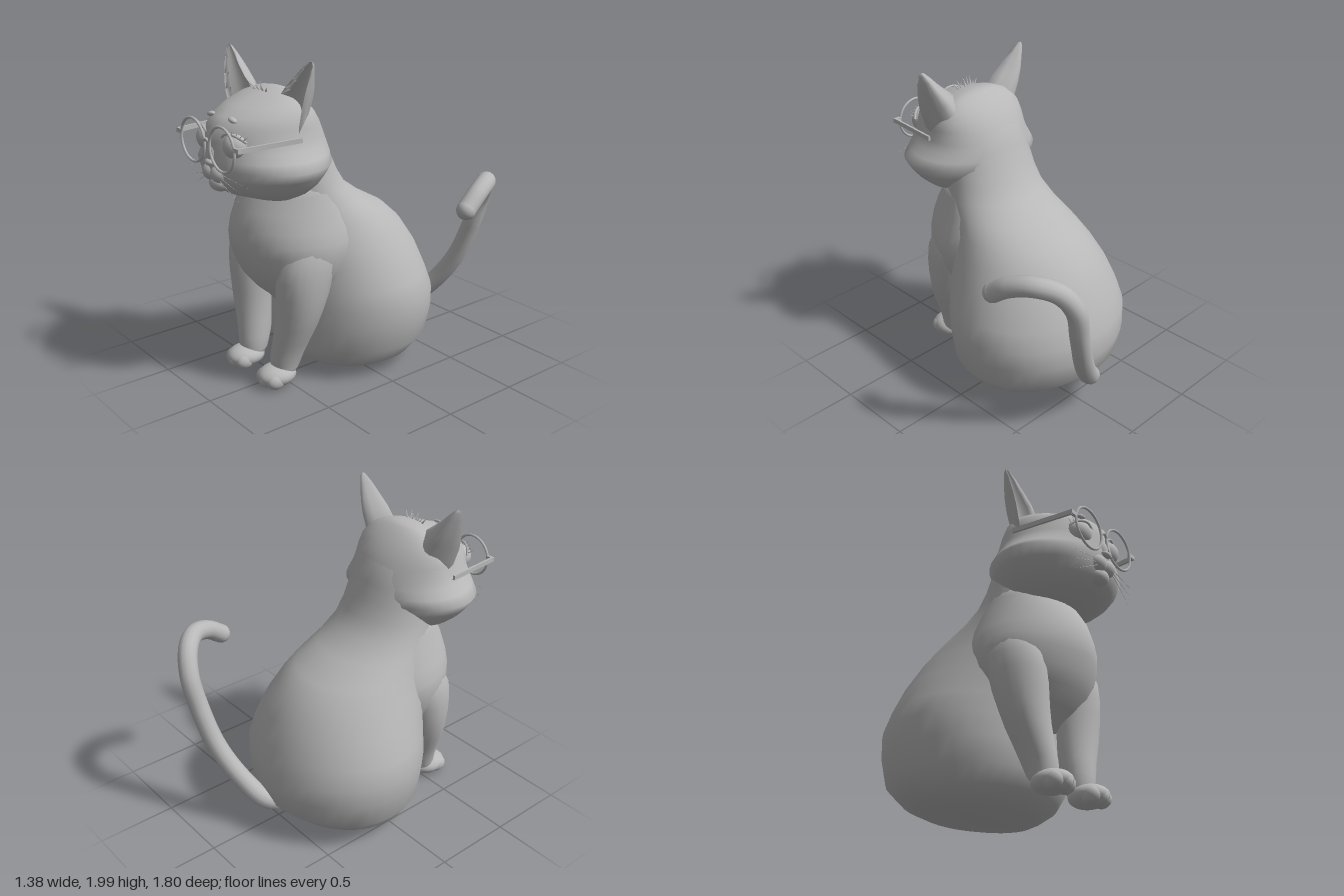
import * as THREE from 'three';

const fur = new THREE.MeshStandardMaterial({ color: 0xb8b8b8 });
fur.name = 'plain grey';
const V = (x, y, z) => new THREE.Vector3(x, y, z);

// Skin a stack of rings (bottom to top) and close both ends
function loft(rings) {
  const n = rings[0].length, pos = [], idx = [];
  rings.forEach(r => r.forEach(p => pos.push(p.x, p.y, p.z)));
  for (let i = 0; i < rings.length - 1; i++) {
    for (let j = 0; j < n; j++) {
      const k = (j + 1) % n, a = i * n + j, b = i * n + k;
      idx.push(a, a + n, b, b, a + n, b + n);
    }
  }
  [0, rings.length - 1].forEach(i => {
    const c = rings[i].reduce((s, p) => s.add(p), V(0, 0, 0)).divideScalar(n);
    const ci = pos.length / 3;
    pos.push(c.x, c.y, c.z);
    for (let j = 0; j < n; j++) {
      const a = i * n + j, b = i * n + (j + 1) % n;
      if (i === 0) idx.push(ci, a, b); else idx.push(ci, b, a);
    }
  });
  const g = new THREE.BufferGeometry();
  g.setAttribute('position', new THREE.Float32BufferAttribute(pos, 3));
  g.setIndex(idx);
  g.computeVertexNormals();
  return g;
}

// Horizontal oval: height, widest z, front z, back z, half width, x centre
function oval([y, zc, zf, zb, rx, cx = 0], power = 1, n = 36) {
  return Array.from({ length: n }, (_, j) => {
    const a = j / n * Math.PI * 2, c = Math.cos(a), s = Math.sin(a);
    const x = Math.sign(c) * Math.pow(Math.abs(c), s > 0 ? power : 1) * rx;
    return V(cx + x, y, zc + s * (s > 0 ? zf - zc : zc - zb));
  });
}

export function createModel() {
  const model = new THREE.Group();
  model.name = 'cat';
  const cat = new THREE.Group();
  cat.name = 'catParts';
  cat.position.x = -0.09;
  model.add(cat);

  function add(name, geo, x = 0, y = 0, z = 0) {
    const m = new THREE.Mesh(geo, fur);
    m.name = name;
    m.position.set(x, y, z);
    cat.add(m);
    return m;
  }
  function ball(name, x, y, z, rx, ry, rz) {
    const m = add(name, new THREE.SphereGeometry(1, 20, 14), x, y, z);
    m.scale.set(rx, ry, rz);
    return m;
  }
  const tube = (name, pts, r, seg = 12, sides = 6) =>
    add(name, new THREE.TubeGeometry(new THREE.CatmullRomCurve3(pts), seg, r, sides));
  // Thin spike from one point to another
  function spike(name, from, to, r) {
    const d = to.clone().sub(from), len = d.length();
    const m = add(name, new THREE.ConeGeometry(r, len, 5));
    m.position.copy(from).addScaledVector(d, 0.5);
    m.quaternion.setFromUnitVectors(V(0, 1, 0), d.normalize());
  }

  // Haunches, back and neck
  add('body', loft([
    [0.01, 0, 0.2, -0.25, 0.31], [0.05, -0.06, 0.28, -0.4, 0.41], [0.1, -0.08, 0.35, -0.5, 0.49],
    [0.2, -0.1, 0.41, -0.6, 0.56], [0.35, -0.1, 0.42, -0.635, 0.585], [0.48, -0.1, 0.42, -0.62, 0.6],
    [0.6, -0.08, 0.43, -0.58, 0.565], [0.75, -0.04, 0.45, -0.525, 0.505], [0.9, 0.03, 0.5, -0.43, 0.435],
    [1.0, 0.1, 0.52, -0.32, 0.39], [1.1, 0.2, 0.54, -0.14, 0.35], [1.2, 0.28, 0.55, 0, 0.325],
    [1.3, 0.32, 0.55, 0.065, 0.31], [1.4, 0.34, 0.55, 0.115, 0.3], [1.5, 0.36, 0.55, 0.15, 0.29],
    [1.6, 0.38, 0.55, 0.19, 0.27], [1.7, 0.4, 0.52, 0.26, 0.22], [1.77, 0.41, 0.5, 0.34, 0.14],
  ].map(s => oval(s))));

  // Chest and shoulders
  add('chest', loft([
    [0.42, 0.3, 0.4, 0.1, 0.14], [0.5, 0.3, 0.46, 0.1, 0.22], [0.57, 0.3, 0.54, 0.08, 0.3],
    [0.66, 0.3, 0.615, 0.02, 0.365], [0.75, 0.3, 0.66, -0.05, 0.405], [0.85, 0.29, 0.69, -0.1, 0.418],
    [0.92, 0.28, 0.7, -0.1, 0.412], [1.0, 0.28, 0.69, -0.08, 0.39], [1.1, 0.28, 0.66, 0, 0.355],
    [1.2, 0.3, 0.6, 0.1, 0.325], [1.3, 0.32, 0.55, 0.15, 0.29],
  ].map(s => oval(s))));

  // Head with pointed cheeks
  add('head', loft([
    [1.17, 0.5, 0.57, 0.4, 0.13], [1.19, 0.5, 0.65, 0.32, 0.23], [1.23, 0.5, 0.76, 0.27, 0.31],
    [1.28, 0.5, 0.83, 0.22, 0.37], [1.34, 0.51, 0.86, 0.18, 0.42], [1.4, 0.52, 0.87, 0.15, 0.455],
    [1.45, 0.5, 0.87, 0.145, 0.41], [1.5, 0.48, 0.865, 0.155, 0.37], [1.55, 0.46, 0.865, 0.172, 0.342],
    [1.62, 0.45, 0.85, 0.203, 0.328], [1.68, 0.44, 0.8, 0.243, 0.31], [1.73, 0.43, 0.71, 0.285, 0.27],
    [1.77, 0.43, 0.61, 0.33, 0.215], [1.8, 0.43, 0.52, 0.37, 0.13], [1.81, 0.43, 0.46, 0.4, 0.05],
  ].map(s => oval(s, 1.15))));

  // Nose and chin
  ball('noseBridge', 0, 1.465, 0.84, 0.042, 0.07, 0.042);
  ball('nose', 0, 1.43, 0.872, 0.04, 0.02, 0.026);
  ball('chin', 0, 1.3, 0.81, 0.075, 0.05, 0.06);

  for (const s of [1, -1]) {
    // Front leg, running up into the shoulder, and paw
    add('frontLeg', loft([
      [0.06, 0.53, 0.59, 0.47, 0.07, 0.17], [0.12, 0.51, 0.6, 0.42, 0.085, 0.168],
      [0.2, 0.5, 0.6, 0.39, 0.095, 0.178], [0.3, 0.48, 0.59, 0.36, 0.113, 0.2],
      [0.4, 0.46, 0.586, 0.33, 0.132, 0.225], [0.5, 0.44, 0.586, 0.3, 0.146, 0.24],
      [0.6, 0.42, 0.59, 0.27, 0.156, 0.25], [0.7, 0.4, 0.593, 0.24, 0.158, 0.255],
      [0.8, 0.37, 0.585, 0.2, 0.158, 0.257], [0.9, 0.34, 0.54, 0.18, 0.145, 0.25],
      [1.0, 0.32, 0.45, 0.2, 0.1, 0.24],
    ].map(r => oval([...r.slice(0, 5), s * r[5]], 1, 24))));
    ball('paw', s * 0.17, 0.075, 0.57, 0.105, 0.068, 0.125);
    [-0.055, 0, 0.055].forEach(o =>
      ball('toe', s * 0.17 + o, 0.063, 0.635 - Math.abs(o) * 0.35, 0.046, 0.052, 0.062));

    // Cupped ear: inner edge, outer edge, cup depth
    const ear = [
      [[0.1, 1.69, 0.46], [0.3, 1.55, 0.47], 0.11], [[0.14, 1.785, 0.48], [0.35, 1.63, 0.51], 0.13],
      [[0.2, 1.835, 0.49], [0.385, 1.74, 0.515], 0.13], [[0.265, 1.89, 0.485], [0.405, 1.83, 0.505], 0.105],
      [[0.335, 1.955, 0.475], [0.42, 1.93, 0.485], 0.06], [[0.375, 1.987, 0.468], [0.424, 1.98, 0.47], 0.03],
      [[0.395, 2, 0.462], [0.415, 1.998, 0.462], 0.01],
    ].map(([i, o, depth]) => {
      const I = V(...i), O = V(...o), n = 8, ring = [];
      for (let k = 0; k < n * 2; k++) {
        const front = k < n, u = (k % n) / n;
        const p = (front ? O : I).clone().lerp(front ? I : O, u);
        p.z -= Math.sin(u * Math.PI) * depth * (front ? 0.5 : 1);
        p.x *= s;
        ring.push(p);
      }
      return s > 0 ? ring : ring.reverse();
    });
    add('ear', loft(ear));

    // Eye, lid, brow and lashes
    ball('eye', s * 0.14, 1.535, 0.782, 0.078, 0.075, 0.078);
    tube('eyelid', [V(s * 0.07, 1.575, 0.835), V(s * 0.12, 1.608, 0.835), V(s * 0.18, 1.6, 0.81),
      V(s * 0.225, 1.565, 0.77)], 0.008);
    ball('brow', s * 0.11, 1.675, 0.783, 0.034, 0.015, 0.02).rotation.z = -s * 0.2;
    for (let k = 0; k < 4; k++) {
      spike('eyelash', V(s * (0.15 + k * 0.02), 1.6 - k * 0.008, 0.82 - k * 0.012),
        V(s * (0.175 + k * 0.028), 1.632 - k * 0.008, 0.83 - k * 0.015), 0.004);
    }

    // Muzzle and whiskers
    ball('muzzle', s * 0.042, 1.365, 0.83, 0.062, 0.055, 0.06);
    for (let k = 0; k < 3; k++) {
      const y = 1.375 - k * 0.022;
      spike('whisker', V(s * 0.08, y, 0.86), V(s * (0.33 - k * 0.03), y - 0.03 - k * 0.035, 0.84), 0.0025);
    }

    // Spectacle rim, hinge and arm
    const gx = -0.018;
    add('rim', new THREE.TorusGeometry(0.127, 0.008, 8, 40), gx + s * 0.153, 1.527, 0.875);
    add('hinge', new THREE.BoxGeometry(0.05, 0.026, 0.018), gx + s * 0.302, 1.552, 0.872);
    const arm = add('arm', new THREE.BoxGeometry(0.014, 0.028, 0.39), gx + s * 0.342, 1.557, 0.68);
    arm.rotation.set(0.025, -s * 0.12, 0);
  }
  tube('bridge', [V(-0.048, 1.545, 0.875), V(-0.018, 1.562, 0.882), V(0.012, 1.545, 0.875)], 0.009);

  // Hair tuft on the crown
  for (let k = 0; k < 11; k++) {
    const t = k / 5 - 1;
    spike('hairTuft', V(t * 0.06, 1.785, 0.52), V(t * 0.095, 1.862 - Math.abs(t) * 0.03 - (k % 2) * 0.02,
      0.53 + (k % 3) * 0.015), 0.007);
  }

  // Tail curling up and over, with a rounded tip
  const tip = V(0.72, 1.055, -0.45);
  tube('tail', [V(0, 0.18, -0.5), V(0.06, 0.22, -0.62), V(0.19, 0.35, -0.705), V(0.32, 0.55, -0.78),
    V(0.415, 0.8, -0.825), V(0.475, 1.0, -0.84), V(0.555, 1.125, -0.79), V(0.645, 1.165, -0.69),
    V(0.7, 1.13, -0.56), tip], 0.06, 48, 14);
  ball('tailTip', tip.x, tip.y, tip.z, 0.06, 0.06, 0.06);

  return model;
}
